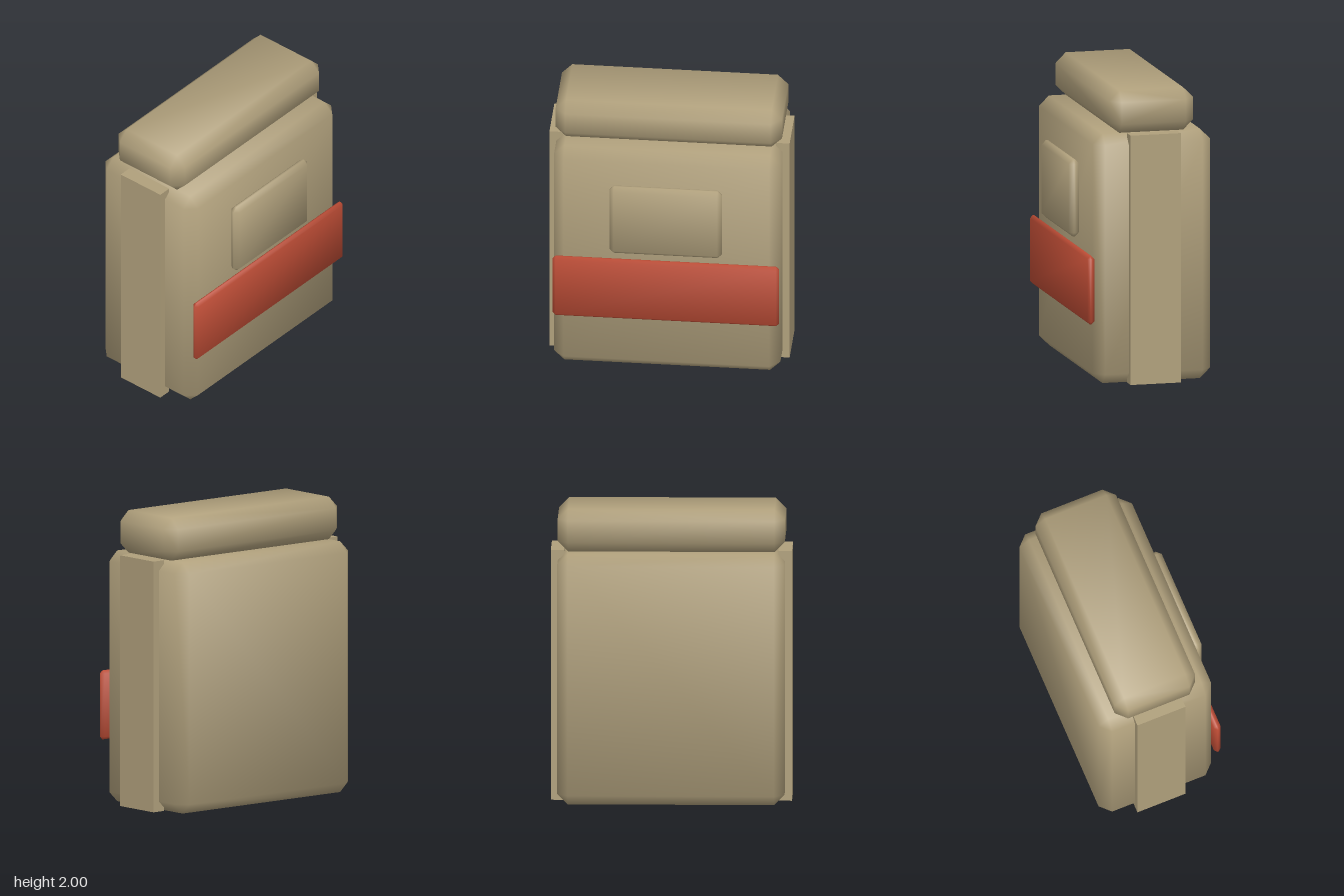
import * as THREE from 'three';
import { ConvexGeometry } from 'three/addons/geometries/ConvexGeometry.js';

const canvas = new THREE.MeshStandardMaterial({ color: 0xb0a07c });
canvas.name = 'tan canvas';
const red = new THREE.MeshStandardMaterial({ color: 0xbb4b34 });
red.name = 'red fabric';

// Box with single-step chamfers and softly blended normals
function chamferBox(w, h, d, c) {
  const half = [w / 2, h / 2, d / 2];
  const points = [];
  for (const sx of [-1, 1]) for (const sy of [-1, 1]) for (const sz of [-1, 1]) {
    const sign = [sx, sy, sz];
    for (let axis = 0; axis < 3; axis++) {
      const p = half.map((s, i) => sign[i] * (i === axis ? s : s - c));
      points.push(new THREE.Vector3(...p));
    }
  }
  const geometry = new ConvexGeometry(points);
  const pos = geometry.attributes.position;
  const normal = geometry.attributes.normal;
  const p = new THREE.Vector3();
  for (let i = 0; i < pos.count; i++) {
    p.fromBufferAttribute(pos, i);
    // Each corner leans mostly towards the flat face it belongs to
    const n = p.toArray().map((v, k) =>
      Math.sign(v) * (Math.abs(Math.abs(v) - half[k]) < 1e-4 ? 0.88 : 0.335));
    normal.setXYZ(i, ...new THREE.Vector3(...n).normalize().toArray());
  }
  return geometry;
}

export function createModel() {
  const model = new THREE.Group();
  model.name = 'backpack';

  // Place a part by its extents; a chamfer of 0 gives a sharp box
  const add = (name, material, [x0, x1], [y0, y1], [z0, z1], chamfer) => {
    const size = [x1 - x0, y1 - y0, z1 - z0];
    const geometry = chamfer ? chamferBox(...size, chamfer) : new THREE.BoxGeometry(...size);
    const mesh = new THREE.Mesh(geometry, material);
    mesh.name = name;
    mesh.position.set((x0 + x1) / 2, (y0 + y1) / 2, (z0 + z1) / 2);
    model.add(mesh);
  };

  // Main pack with the bedroll resting on top
  add('packBody', canvas, [-0.765, 0.765], [0, 1.71], [-0.445, 0.375], 0.07);
  add('bedroll', canvas, [-0.765, 0.765], [1.71, 2], [-0.328, 0.258], 0.07);

  // Front pocket and red band
  add('frontPocket', canvas, [-0.38, 0.38], [0.945, 1.475], [0.375, 0.448], 0.03);
  add('frontBand', red, [-0.765, 0.765], [0.415, 0.885], [0.375, 0.423], 0.02);

  // Side straps
  add('leftStrap', canvas, [0.72, 0.812], [0, 1.71], [-0.21, 0.14], 0);
  add('rightStrap', canvas, [-0.812, -0.72], [0, 1.71], [-0.21, 0.14], 0);

  return model;
}
